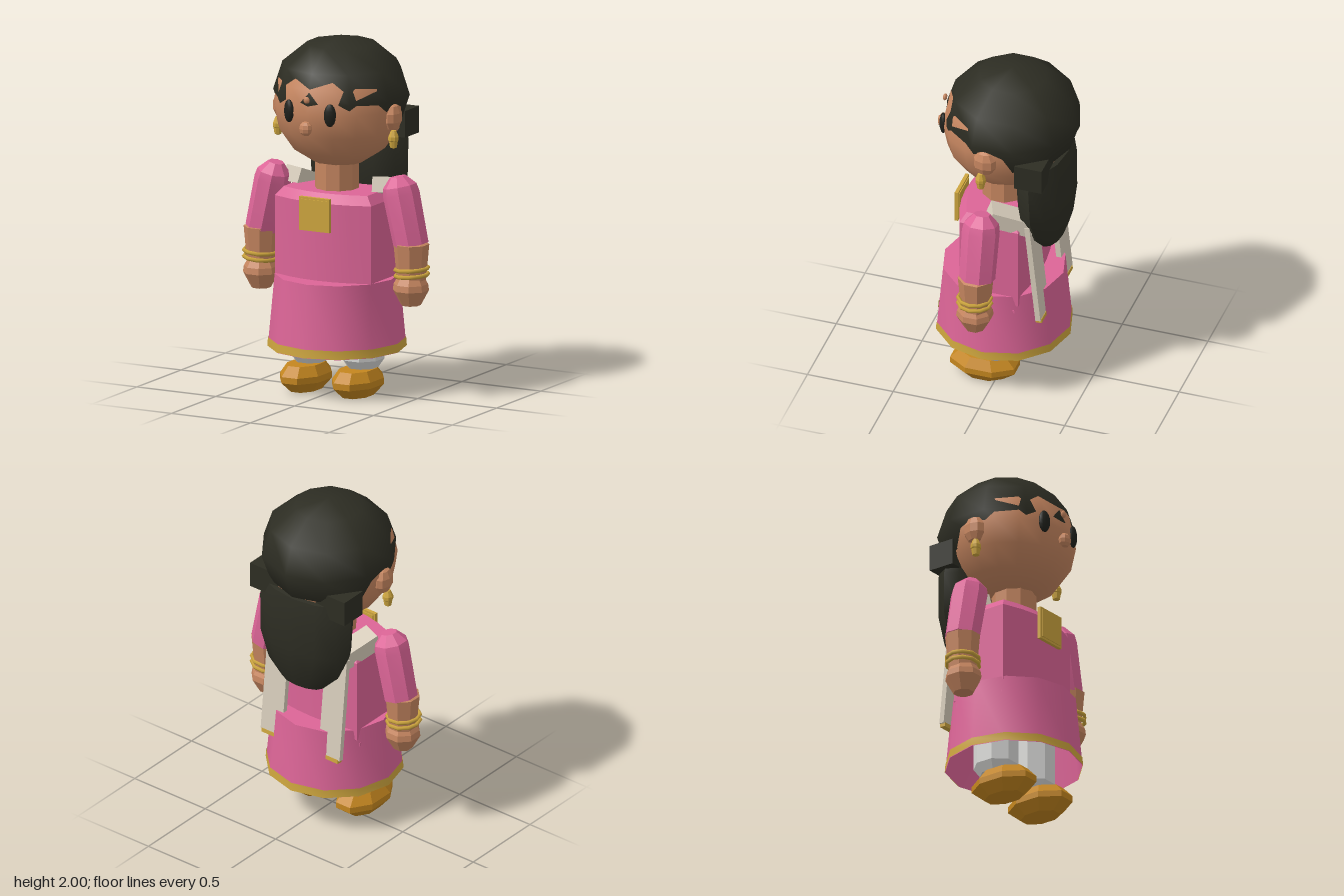
import * as THREE from 'three';
import { toCreasedNormals } from 'three/addons/utils/BufferGeometryUtils.js';

const material = (name, color, side = THREE.FrontSide) => {
  const m = new THREE.MeshStandardMaterial({ color, side });
  m.name = name;
  return m;
};

// turned form: profile is [radius, y] from bottom to top, stretched in x and z
function turned(profile, sides, sx = 1, sz = 1, crease = 0.3, turn = 0) {
  const g = new THREE.LatheGeometry(profile.map(p => new THREE.Vector2(...p)), sides);
  g.rotateY(turn);
  g.scale(sx, 1, sz);
  return toCreasedNormals(g, crease);
}

function ball(rx, ry, rz, w, h, flat = false) {
  const g = new THREE.SphereGeometry(1, w, h);
  g.rotateY(Math.PI / 2);
  g.scale(rx, ry, rz);
  return flat ? toCreasedNormals(g, 0.3) : g;
}

export function createModel() {
  const root = new THREE.Group();
  root.name = 'figure';
  const skin = material('skin', 0xc68660);
  const hair = material('hair', 0x2d2d23);
  const eyeBlack = material('eye black', 0x20211c);
  const pink = material('pink cloth', 0xdc6597, THREE.DoubleSide);
  const gold = material('gold', 0xcda53e, THREE.DoubleSide);
  const shoeGold = material('shoe ochre', 0xc4861f);
  const white = material('white cloth', 0xdadad8);
  const cream = material('cream scarf', 0xd6ccba);

  const add = (name, geo, mat, x = 0, y = 0, z = 0, parent = root) => {
    const m = new THREE.Mesh(geo, mat);
    m.name = name;
    m.position.set(x, y, z);
    parent.add(m);
    return m;
  };

  // flat strip running between two points, local z along its length
  const beam = (name, a, b, w, h, mat) => {
    const p = new THREE.Vector3(...a), q = new THREE.Vector3(...b);
    const m = add(name, new THREE.BoxGeometry(w, h, p.distanceTo(q)), mat);
    m.position.copy(p).add(q).multiplyScalar(0.5);
    m.lookAt(q);
    return m;
  };

  // head and hair
  add('head', ball(0.365, 0.35, 0.36, 16, 8), skin, 0, 1.62, 0);
  add('hairCap', ball(0.385, 0.32, 0.385, 10, 6), hair, 0, 1.68, -0.03);
  add('hairBand', new THREE.BoxGeometry(0.67, 0.15, 0.16), hair, 0, 1.505, -0.23);
  const tail = turned([[0, 0.91], [0.14, 0.92], [0.24, 1.02], [0.305, 1.17], [0.315, 1.4], [0.28, 1.5], [0, 1.52]],
    12, 1, 0.46, 0.9);
  const tp = tail.attributes.position;
  // the lower end of the hair swings backwards
  for (let i = 0; i < tp.count; i++) tp.setZ(i, tp.getZ(i) - 0.225 - Math.max(0, 1.25 - tp.getY(i)) * 0.1);
  add('longHair', tail, hair);

  // face
  add('nose', ball(0.04, 0.042, 0.032, 8, 6, true), skin, 0, 1.545, 0.375);
  add('foreheadDot', ball(0.02, 0.02, 0.012, 8, 6), skin, 0, 1.705, 0.365);

  // neck and torso
  add('neck', turned([[0.125, 1.1], [0.125, 1.34]], 10), skin, 0, 0, 0.02);
  const plan = new THREE.Shape();
  plan.moveTo(-0.265, -0.15);
  plan.quadraticCurveTo(0, -0.26, 0.265, -0.15);
  plan.lineTo(0.265, 0.13);
  plan.quadraticCurveTo(0, 0.19, -0.265, 0.13);
  const torso = new THREE.ExtrudeGeometry(plan, {
    depth: 0.5, bevelThickness: 0.05, bevelSize: 0.04, bevelSegments: 1, curveSegments: 6 });
  torso.rotateX(-Math.PI / 2);
  add('torso', toCreasedNormals(torso, 0.5), pink, 0, 0.6, 0);
  add('badge', new THREE.BoxGeometry(0.19, 0.19, 0.02), gold, 0, 1.04, 0.268);
  add('badgePlate', new THREE.BoxGeometry(0.165, 0.165, 0.03), gold, 0, 1.04, 0.268);

  // skirt, open underneath
  add('skirt', turned([[0.383, 0.25], [0.345, 0.66], [0, 0.66]], 12, 1, 1, 0.7), pink, 0, 0, 0.02);
  add('hem', turned([[0.386, 0.252], [0.382, 0.3]], 12, 1, 1, 0.7), gold, 0, 0, 0.02);
  add('hips', new THREE.BoxGeometry(0.625, 0.02, 0.32), pink, 0, 0.565, 0.015);

  for (const s of [1, -1]) {
    const side = s > 0 ? 'left' : 'right';

    // eyes, ears and earrings
    const eye = add(side + 'Eye', ball(0.035, 0.065, 0.022, 10, 8), eyeBlack, s * 0.13, 1.625, 0.332);
    eye.rotation.y = s * 0.35;
    add(side + 'Ear', ball(0.045, 0.08, 0.068, 8, 5, true), skin, s * 0.352, 1.58, 0.015);
    add(side + 'Earring', turned([[0, 1.405], [0.02, 1.415], [0.026, 1.45], [0.03, 1.455],
      [0.03, 1.475], [0.015, 1.51], [0, 1.515]], 8), gold, s * 0.366, 0, 0.035);

    // sleeve
    const sleeve = add(side + 'Sleeve', turned([[0, -0.39], [0.098, -0.39], [0.103, -0.1], [0.095, -0.055],
      [0.045, 0], [0, 0]], 8, 1, 1.03, 0.3, Math.PI / 8), pink, s * 0.385, 1.25, 0.02);
    sleeve.rotation.z = s * 0.22;

    // forearm, hand and bracelets
    const arm = new THREE.Group();
    arm.name = side + 'Forearm';
    arm.position.set(s * 0.475, 0, 0.032);
    arm.rotation.z = 0;
    root.add(arm);
    add('wrist', turned([[0.078, 0.64], [0.1, 0.88], [0, 0.92]], 8, 1, 1, 0.3, Math.PI / 8), skin, 0, 0, -0.005, arm);
    add('hand', turned([[0, 0.535], [0.055, 0.535], [0.1, 0.62], [0.095, 0.655], [0.06, 0.715], [0, 0.72]],
      8, 1, 1.05, 0.3, Math.PI / 8), skin, 0, 0, 0, arm);
    for (const y of [0.705, 0.74]) {
      const ring = new THREE.TorusGeometry(0.092, 0.012, 5, 10);
      ring.rotateX(Math.PI / 2);
      add('bracelet', ring, gold, s * 0.005, y, 0, arm).rotation.z = s * 0.08;
    }

    // scarf: over the shoulder, then hanging down the back
    beam(side + 'ScarfShoulder', [s * 0.2, 1.1, -0.21], [s * 0.29, 1.19, 0.01], 0.13, 0.09, cream);
    beam(side + 'ScarfTail', [s * 0.205, 1.13, -0.205], [s * 0.205, 0.51, -0.27], 0.15, 0.03, cream);
    beam(side + 'ScarfTip', [s * 0.205, 0.515, -0.27], [s * 0.205, 0.492, -0.272], 0.13, 0.035, gold);

    // trouser leg
    add(side + 'Leg', turned([[0, 0.145], [0.085, 0.15], [0.118, 0.2], [0.118, 0.62], [0, 0.62]],
      8, 1, 1.12, 0.3, Math.PI / 8), white, s * 0.165, 0, 0.022);

    // shoe
    add(side + 'Shoe', turned([[0, 0], [0.08, 0], [0.13, 0.06], [0.13, 0.095], [0.095, 0.15], [0, 0.152]],
      8, 1, 1.56, 0.3, Math.PI / 8), shoeGold, s * 0.165, 0, 0.077);
  }
  return root;
}
